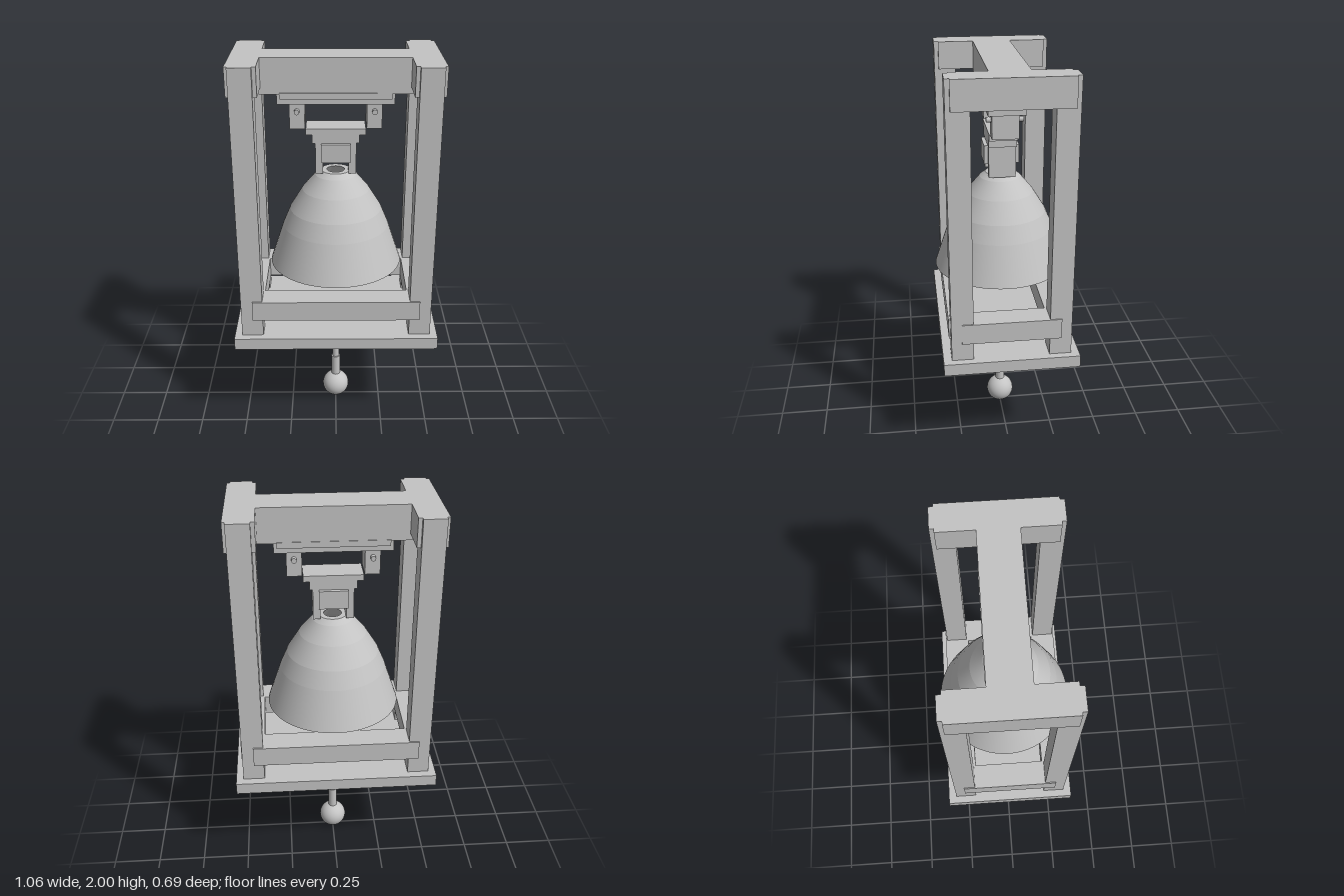
import * as THREE from 'three';

export function createModel() {
  const model = new THREE.Group();
  const grey = new THREE.MeshStandardMaterial({ color: 0xc4c4c4 });
  grey.name = 'plain grey';

  const add = (name, geometry, x = 0, y = 0, z = 0) => {
    const mesh = new THREE.Mesh(geometry, grey);
    mesh.name = name;
    mesh.position.set(x, y, z);
    model.add(mesh);
    return mesh;
  };
  // Box given by its limits on each axis
  const box = (name, [x0, x1], [y0, y1], [z0, z1]) =>
    add(name, new THREE.BoxGeometry(x1 - x0, y1 - y0, z1 - z0),
      (x0 + x1) / 2, (y0 + y1) / 2, (z0 + z1) / 2);
  const span = (s, a, b) => (s > 0 ? [a, b] : [-b, -a]);
  const both = (a) => [-a, a];

  // Base and frame
  box('basePlate', both(0.528), [0.535, 0.598], both(0.342));
  box('crossBeam', both(0.37), [1.825, 2], both(0.097));
  for (const s of [-1, 1]) {
    for (const t of [-1, 1]) box('post', span(s, 0.379, 0.49), [0.598, 2], span(t, 0.19, 0.3));
    box('endBeam', span(s, 0.36, 0.505), [1.858, 2], both(0.278));
    box('sideRail', span(s, 0.37, 0.496), [0.69, 0.797], both(0.248));
    box('longRail', both(0.431), [0.69, 0.797], span(s, 0.18, 0.309));
  }

  // Hanger plate, brackets and pivot pins
  box('hangerPlate', both(0.285), [1.773, 1.825], both(0.09));
  box('hangerPlateTop', both(0.27), [1.8, 1.83], both(0.1));
  for (const s of [-1, 1]) {
    box('bracket', span(s, 0.152, 0.227), [1.643, 1.773], both(0.066));
    const pin = add('pivotPin', new THREE.CylinderGeometry(0.013, 0.013, 0.18, 16), s * 0.19, 1.732, 0);
    pin.rotation.x = Math.PI / 2;
  }

  // Stepped headstock with two legs gripping the bell
  box('headstockTop', both(0.148), [1.612, 1.643], both(0.07));
  box('headstockStep', both(0.117), [1.57, 1.612], both(0.07));
  box('headstockBlock', both(0.102), [1.472, 1.57], both(0.068));
  box('headstockPlate', both(0.072), [1.472, 1.567], both(0.088));
  for (const s of [-1, 1]) box('headstockLeg', span(s, 0.064, 0.102), [1.408, 1.472], both(0.068));

  // Hollow bell built in bands so the ridges between them stay crisp
  const outer = [[0.345, 0.903], [0.275, 1.11], [0.237, 1.2], [0.172, 1.305], [0.105, 1.385], [0.075, 1.408]];
  const inner = [[0.045, 1.408], [0.08, 1.36], [0.14, 1.29], [0.204, 1.185], [0.242, 1.1], [0.31, 0.903]];
  const profile = [...outer, ...inner, outer[0]].map(([r, y]) => new THREE.Vector2(r, y));
  const bell = new THREE.Group();
  bell.name = 'bell';
  for (let i = 0; i < profile.length - 1; i++) {
    const band = new THREE.Mesh(new THREE.LatheGeometry([profile[i], profile[i + 1]], 64), grey);
    band.name = 'bellBand';
    bell.add(band);
  }
  model.add(bell);

  // Pull rod and ball under the base
  const bar = add('pullBar', new THREE.CylinderGeometry(0.013, 0.013, 0.116, 16), 0, 0.526, 0);
  bar.rotation.x = Math.PI / 2;
  add('pullRod', new THREE.CylinderGeometry(0.018, 0.018, 0.27, 24), 0, 0.385, 0);
  add('pullSleeve', new THREE.CylinderGeometry(0.024, 0.024, 0.125, 24), 0, 0.2025, 0);
  add('pullBall', new THREE.SphereGeometry(0.074, 32, 20), 0, 0.074, 0);

  return model;
}
